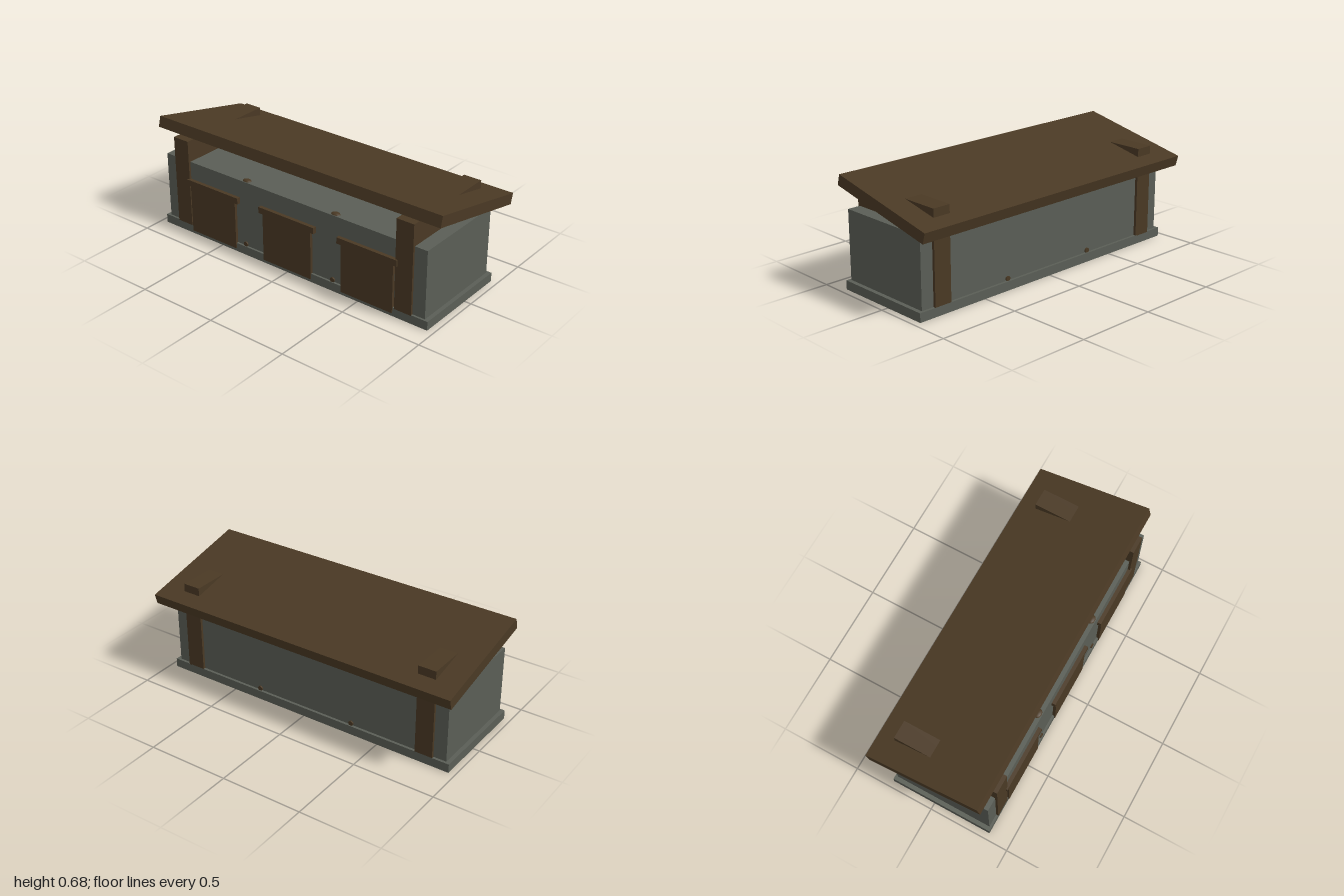
import * as THREE from 'three';

export function createModel() {
  const wood = new THREE.MeshStandardMaterial({ color: 0x4a3924 });
  wood.name = 'darkWood';
  const stone = new THREE.MeshStandardMaterial({ color: 0x5a5e56 });
  stone.name = 'greyStone';

  const model = new THREE.Group();
  model.name = 'stall';

  const add = (name, geometry, material) => {
    const mesh = new THREE.Mesh(geometry, material);
    mesh.name = name;
    model.add(mesh);
    return mesh;
  };

  // Box given by its lower and upper corners
  const box = (name, material, [x0, y0, z0], [x1, y1, z1]) => {
    const mesh = add(name, new THREE.BoxGeometry(x1 - x0, y1 - y0, z1 - z0), material);
    mesh.position.set((x0 + x1) / 2, (y0 + y1) / 2, (z0 + z1) / 2);
    return mesh;
  };

  // Stone base and body
  box('base', stone, [-0.96, 0, -0.272], [0.96, 0.054, 0.365]);
  box('body', stone, [-0.935, 0.05, -0.256], [0.935, 0.468, 0.352]);

  // Sloping roof slab: side profile in (z, y), extruded across the width
  const profile = new THREE.Shape([
    [0.345, 0.62], [0.328, 0.684], [-0.374, 0.53], [-0.357, 0.467],
  ].map(([z, y]) => new THREE.Vector2(z, y)));
  const roofGeometry = new THREE.ExtrudeGeometry(profile, { depth: 2, bevelEnabled: false });
  roofGeometry.translate(0, 0, -1);
  roofGeometry.rotateY(-Math.PI / 2);
  add('roof', roofGeometry, wood);

  // Deep wooden frames that pass through the body and poke out of the roof
  for (const side of [-1, 1]) {
    box('supportFrame', wood, [side * 0.8 - 0.055, 0.05, -0.272], [side * 0.8 + 0.055, 0.602, 0.366]);

    // Small peg ends showing at the front and back of the base
    const peg = add('peg', new THREE.CylinderGeometry(0.015, 0.015, 0.625, 12), wood);
    peg.rotation.x = Math.PI / 2;
    peg.position.set(side * 0.32, 0.066, 0.048);

    // Low knob on the front edge of the body top
    const knob = add('knob', new THREE.SphereGeometry(0.03, 12, 8), wood);
    knob.scale.set(1, 0.4, 0.7);
    knob.position.set(side * 0.32, 0.466, 0.328);
  }

  // Front panels, each with a wider rail on top
  for (const x of [-0.56, 0, 0.56]) {
    box('panel', wood, [x - 0.174, 0.02, 0.35], [x + 0.174, 0.33, 0.37]);
    box('panelRail', wood, [x - 0.2, 0.32, 0.35], [x + 0.2, 0.358, 0.375]);
  }

  return model;
}
